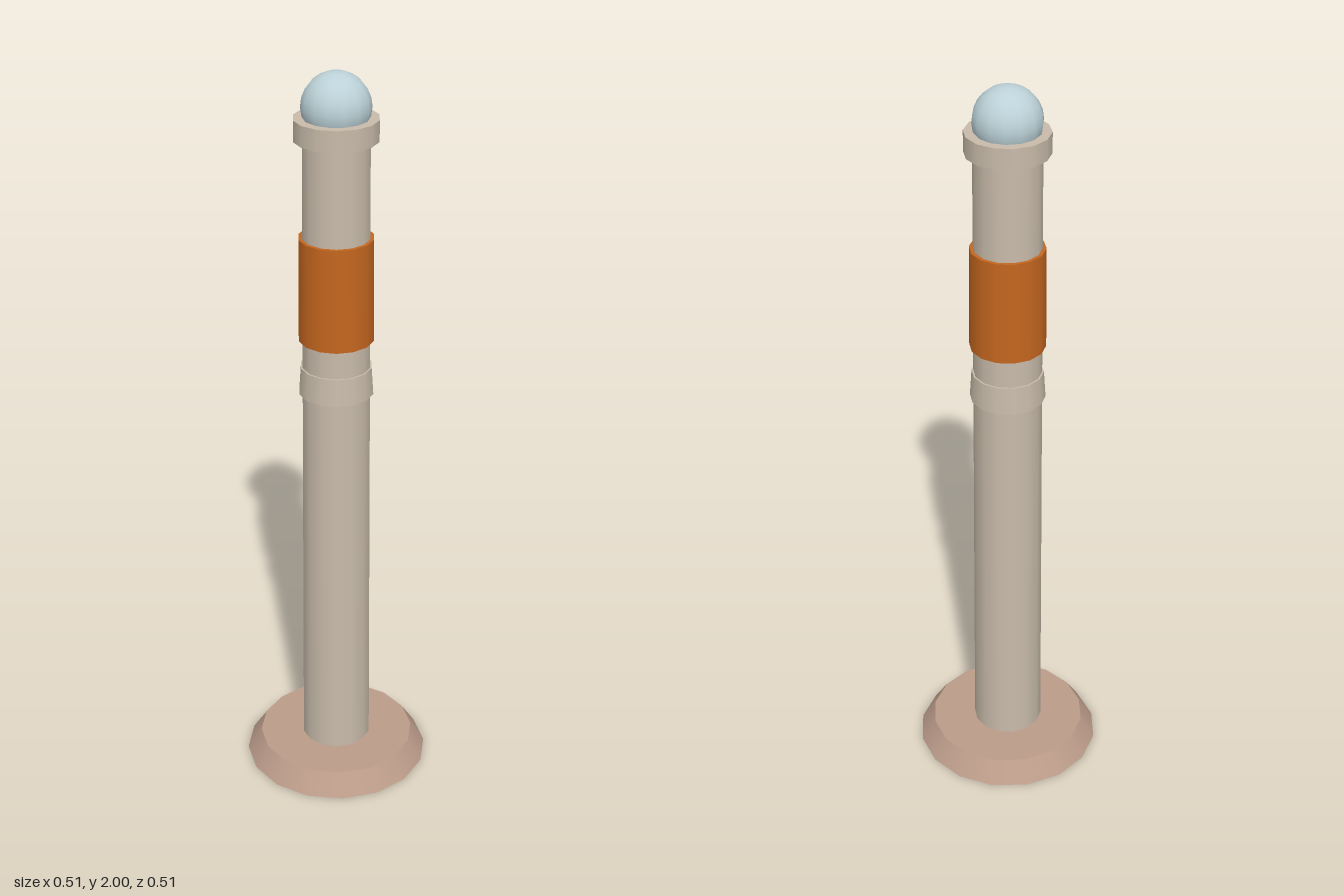
import * as THREE from 'three';

const material = (name, color) => {
  const m = new THREE.MeshStandardMaterial({ color });
  m.name = name;
  return m;
};

export function createModel() {
  const stone = material('warm grey post', 0xc8bbaa);
  const clay = material('brown base', 0xbc9c8a);
  const orange = material('orange band', 0xc4661f);
  const glass = material('pale blue globe', 0xbcd2d8);

  const group = new THREE.Group();
  group.name = 'bollard';

  // Round section standing between two heights
  const section = (name, mat, y0, y1, rBottom, rTop, sides = 14) => {
    const mesh = new THREE.Mesh(new THREE.CylinderGeometry(rTop, rBottom, y1 - y0, sides), mat);
    mesh.name = name;
    mesh.position.y = (y0 + y1) / 2;
    group.add(mesh);
  };

  section('base', clay, 0, 0.06, 0.255, 0.216, 16);
  section('post', stone, 0.05, 1.86, 0.096, 0.086);
  section('collar', stone, 1.145, 1.22, 0.099, 0.094);
  section('band', orange, 1.297, 1.575, 0.099, 0.097);
  section('cap', stone, 1.83, 1.885, 0.108, 0.108);

  // Globe resting in the cap
  const globe = new THREE.Mesh(new THREE.SphereGeometry(0.088, 14, 12), glass);
  globe.name = 'globe';
  globe.position.y = 1.912;
  group.add(globe);

  return group;
}
